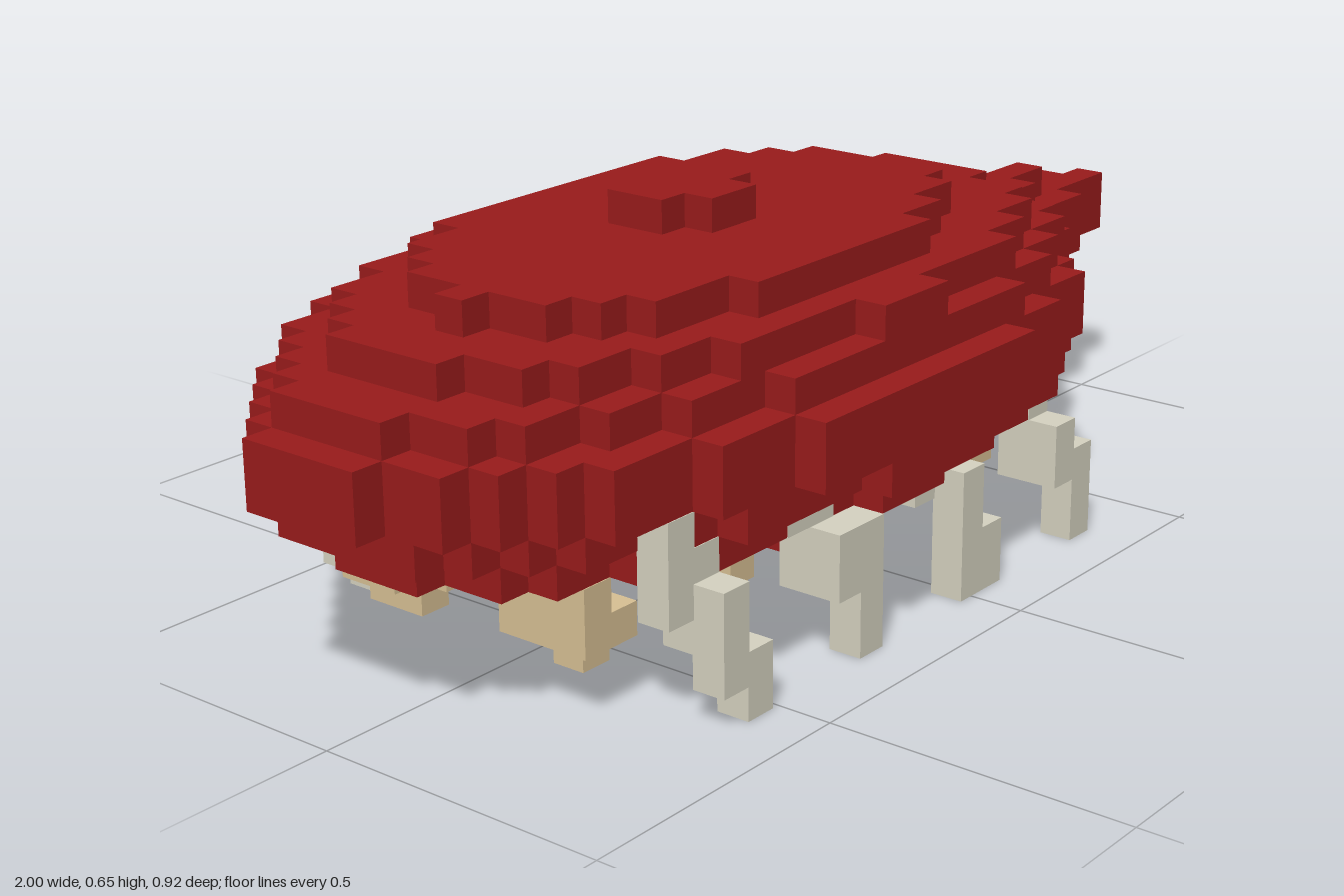
import * as THREE from 'three';

const V = 2 / 37; // edge of one block
const ROWS = 17;
const SKIN = 0.003; // legs stand just proud of the shell they are set into

const shellRed = new THREE.MeshStandardMaterial({ color: 0x991b1b });
shellRed.name = 'shellRed';
const legGrey = new THREE.MeshStandardMaterial({ color: 0xd6d3c1 });
legGrey.name = 'legGrey';
const legTan = new THREE.MeshStandardMaterial({ color: 0xd8c094 });
legTan.name = 'legTan';

// Blocky oval: a start and end column for each row from back (0) to front (16)
function ovalSpans(x0, x1, back, front, tail = {}) {
  const spans = [];
  const c = (x0 + x1) / 2, a = (x1 - x0) / 2;
  for (let k = 0; k < ROWS; k++) {
    const dz = k - 8, b = dz < 0 ? back : front;
    if (Math.abs(dz) >= b) continue;
    const r = a * Math.sqrt(1 - (dz / b) ** 2);
    spans.push([k, Math.round(c - r), Math.max(Math.round(c + r), tail[k] || 0)]);
  }
  return spans;
}

// One slab with a stepped outline, between block levels j and j + h
function slab(name, spans, j, h = 1) {
  const pts = [];
  for (const [k, s] of spans) pts.push([s, k], [s, k + 1]);
  for (const [k, , e] of [...spans].reverse()) pts.push([e, k + 1], [e, k]);
  const shape = new THREE.Shape(pts.map(([x, z]) => new THREE.Vector2(x * V - 1, (z - ROWS / 2) * V)));
  const g = new THREE.ExtrudeGeometry(shape, { depth: h * V, bevelEnabled: false });
  g.rotateX(Math.PI / 2);
  const m = new THREE.Mesh(g, shellRed);
  m.name = name;
  m.position.y = (j + h) * V;
  return m;
}

// A leg made of boxes [column, level, row, width, height, depth]
function leg(name, boxes, mat, mirrored) {
  const group = new THREE.Group();
  group.name = name;
  for (const [i, j, k, w, h, d] of boxes) {
    const m = new THREE.Mesh(new THREE.BoxGeometry(w * V + SKIN, h * V, d * V + SKIN), mat);
    m.name = name + 'Segment';
    const z = (k + d / 2 - ROWS / 2) * V;
    m.position.set((i + w / 2) * V - 1, (j + h / 2) * V, mirrored ? -z : z);
    group.add(m);
  }
  return group;
}

export function createModel() {
  const model = new THREE.Group();
  model.name = 'blockCrab';

  // Widest part of the shell, running out into the tail
  const starts = [8, 6, 4, 3, 2, 1, 0, 0, 0, 0, 1, 1, 2, 3, 4, 7, 10];
  const ends = [21, 24, 26, 27, 28, 29, 32, 36, 37, 34, 31, 30, 28, 27, 26, 23, 20];
  model.add(slab('shellRim', starts.map((s, k) => [k, s, ends[k]]), 6, 2));

  // Upper shell tiers
  model.add(slab('lowerTier', ovalSpans(1, 30, 8.5, 7.5, { 7: 31, 8: 33, 9: 31 }), 8));
  model.add(slab('middleTier', ovalSpans(3, 28, 7.5, 7.05), 9));
  model.add(slab('upperTier', ovalSpans(5.45, 24.3, 6, 5.6), 10));
  model.add(slab('shellCap', [[7, 13, 17], [8, 13, 17], [9, 14, 16]], 11));

  // Underside tiers
  model.add(slab('upperBelly', ovalSpans(1, 30, 8.15, 8.1, { 7: 32, 8: 34, 9: 32 }), 5));
  model.add(slab('middleBelly', ovalSpans(2, 29, 7.3, 7.05), 4));
  model.add(slab('lowerBelly', ovalSpans(8, 23, 5.6, 5.6), 3));
  model.add(slab('bellyKeel', [[7, 14, 18], [8, 14, 18], [9, 14, 18]], 2));

  // Outer walking legs, with the second and fourth different at the back
  const outer = [
    [[6, 4, 14, 1, 2, 1], [6, 3, 14, 2, 2, 1], [7, 2, 14, 1, 2, 2], [7, 1, 15, 1, 3, 1], [8, 0, 15, 1, 2, 1]],
    [[11, 4, 14, 2, 1, 1], [12, 2, 14, 1, 3, 1], [12, 2, 15, 2, 2, 1], [13, 0, 15, 1, 4, 1]],
    [[18, 3, 14, 1, 2, 1], [17, 3, 14, 1, 1, 1], [18, 2, 15, 1, 2, 1], [18, 0, 15, 2, 2, 1]],
    [[23, 2, 14, 1, 4, 1], [23, 2, 15, 1, 2, 1], [24, 2, 14, 1, 1, 1], [24, 0, 15, 1, 3, 1]],
  ];
  const backOuter = [
    outer[0],
    [[11, 4, 14, 2, 1, 1], [12, 3, 14, 1, 2, 2], [13, 1, 15, 1, 3, 1], [13, 1, 16, 1, 1, 1]],
    outer[2],
    [[23, 3, 14, 2, 2, 2], [24, 0, 15, 1, 3, 1]],
  ];
  outer.forEach((boxes, n) => {
    model.add(leg('frontOuterLeg' + (n + 1), boxes, legGrey, false));
    model.add(leg('backOuterLeg' + (n + 1), backOuter[n], legGrey, true));
  });

  // Short inner legs
  const inner = [
    [[5, 2, 10, 1, 2, 3], [6, 1, 11, 1, 2, 1], [6, 2, 10, 1, 1, 3]],
    [[11, 2, 10, 1, 1, 3], [12, 1, 11, 1, 2, 1], [12, 2, 10, 1, 1, 2]],
    [[16, 2, 10, 1, 1, 3], [17, 1, 11, 1, 2, 1], [17, 2, 10, 1, 1, 2]],
    [[22, 1, 11, 1, 2, 1], [22, 2, 10, 2, 2, 3], [23, 1, 11, 1, 2, 1], [24, 3, 11, 1, 1, 2]],
  ];
  const backInner = [
    [[5, 2, 11, 1, 2, 2], [6, 1, 11, 1, 2, 2], [6, 2, 10, 1, 1, 4]],
    inner[1],
    inner[2],
    [[22, 1, 11, 2, 3, 2], [22, 2, 10, 2, 1, 4], [24, 3, 11, 1, 1, 2]],
  ];
  inner.forEach((boxes, n) => {
    model.add(leg('frontInnerLeg' + (n + 1), boxes, legTan, false));
    model.add(leg('backInnerLeg' + (n + 1), backInner[n], legTan, true));
  });
  return model;
}
